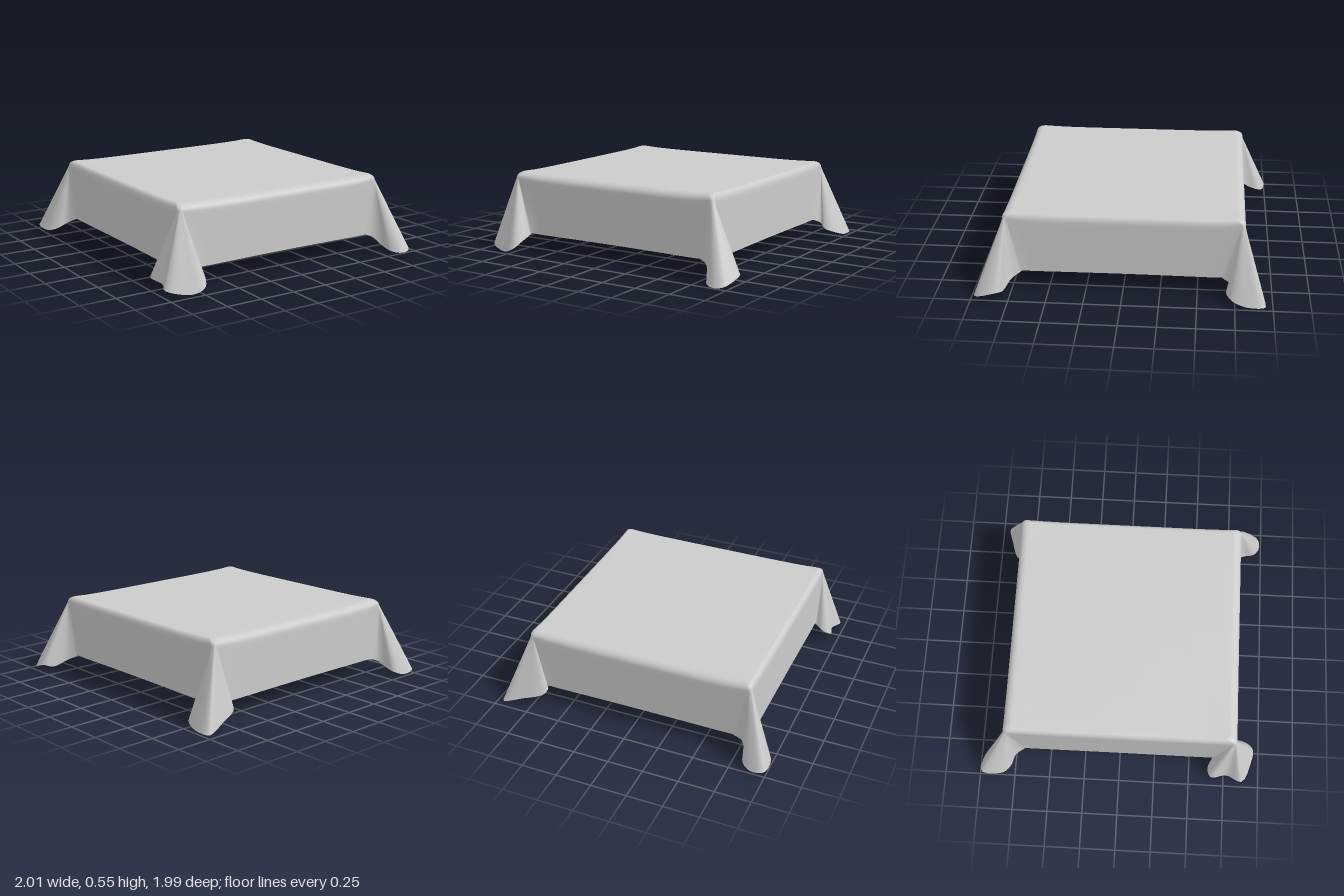
import * as THREE from 'three';

// Tabletop outline and heights
const LEFT = -0.825, RIGHT = 0.79, FRONT = 0.805, BACK = -0.805;
const TOP_Y = 0.537, EDGE_Y = 0.485, HEM_Y = 0.118;
const LOBE = 30, PANEL = 16, ROWS = 14;

// Hem of each hanging corner fold, walking round the cloth from the front panel
const corners = [
  { x: RIGHT, z: FRONT, hem: [[.70, .12, .808], [.75, .10, .825], [.80, .04, .88], [.83, .01, .95], [.90, 0, .99],
    [.97, .01, .97], [1.0, .06, .82], [.93, .04, .79], [.84, .08, .75], [.79, .12, .68]] },
  { x: RIGHT, z: BACK, hem: [[.79, .12, -.66], [.83, .09, -.72], [.87, .06, -.69], [.94, .03, -.73], [.97, 0, -.84],
    [.96, 0, -.95], [.82, .04, -.92], [.68, .08, -.87], [.66, .11, -.83], [.68, .12, -.808]] },
  { x: LEFT, z: BACK, hem: [[-.70, .12, -.808], [-.78, .10, -.825], [-.81, .06, -.88], [-.83, .03, -.95], [-.90, .01, -.99],
    [-.99, .03, -.99], [-.99, .02, -.84], [-.94, .04, -.78], [-.87, .08, -.75], [-.825, .12, -.68]] },
  { x: LEFT, z: FRONT, hem: [[-.825, .12, .66], [-.90, .09, .63], [-.955, .06, .66], [-.93, .04, .77], [-.97, .03, .88],
    [-.82, 0, .95], [-.73, .03, .96], [-.69, .08, .90], [-.68, .12, .808]] },
];

// Matching loops: the table edge (tight corner arcs) and the hem below it
function buildLoops() {
  const edge = [], hem = [];
  const r = 0.03;
  const folds = corners.map((c, k) => {
    const curve = new THREE.CatmullRomCurve3(c.hem.map(p => new THREE.Vector3(...p)), false, 'centripetal');
    const hemPts = curve.getPoints(LOBE);
    hemPts.forEach(p => { p.y = Math.max(0, p.y); });
    const cx = c.x - Math.sign(c.x) * r, cz = c.z - Math.sign(c.z) * r;
    const edgePts = hemPts.map((_, i) => {
      const a = Math.PI / 2 - (k + i / LOBE) * Math.PI / 2;
      return new THREE.Vector3(cx + r * Math.cos(a), EDGE_Y + 0.02, cz + r * Math.sin(a));
    });
    return { edgePts, hemPts };
  });
  folds.forEach((fold, k) => {
    const next = folds[(k + 1) % 4];
    edge.push(...fold.edgePts);
    hem.push(...fold.hemPts);
    // straight panel to the next corner
    for (let i = 1; i < PANEL; i++) {
      const t = i / PANEL;
      const e = fold.edgePts[LOBE].clone().lerp(next.edgePts[0], t);
      e.y = EDGE_Y + 0.02 * Math.pow(Math.abs(2 * t - 1), 6);
      const h = fold.hemPts[LOBE].clone().lerp(next.hemPts[0], t);
      h.y = HEM_Y + 0.004 * Math.sin(Math.PI * t);
      edge.push(e);
      hem.push(h);
    }
  });
  return { edge, hem };
}

function clothGeometry() {
  const { edge, hem } = buildLoops();
  const rings = [];
  const cx = (LEFT + RIGHT) / 2, hx = (RIGHT - LEFT) / 2;

  // flat top, shrinking toward the middle
  const inset = (dx, dz, y, lift) => edge.map(p => {
    const u = (p.x - cx) / hx, v = p.z / FRONT;
    return new THREE.Vector3(cx + u * (hx - dx), y + lift * Math.pow(Math.abs(u * v), 12), v * (FRONT - dz));
  });
  [0.02, 0.3, 0.6, 0.85].forEach(s => rings.push(inset(hx * (1 - s), FRONT * (1 - s), TOP_Y, 0)));

  // rounded edge, softer at front and back
  for (let i = 0; i < 5; i++) {
    const a = i / 5 * Math.PI / 2;
    const q = 1 - Math.sin(a);
    const ring = inset(0.035 * q, 0.06 * q, 0, 0);
    ring.forEach((p, j) => {
      const base = edge[j].y;
      const lift = 0.008 * (base - EDGE_Y) / 0.02;
      p.y = base + (TOP_Y + lift - base) * Math.cos(a);
    });
    rings.push(ring);
  }

  // hanging skirt and corner folds
  for (let i = 0; i <= ROWS; i++) {
    rings.push(edge.map((p, j) => p.clone().lerp(hem[j], i / ROWS)));
  }

  const n = edge.length, pos = [], index = [];
  rings.forEach(ring => ring.forEach(p => pos.push(p.x, p.y, p.z)));
  for (let r = 0; r < rings.length - 1; r++) {
    for (let i = 0; i < n; i++) {
      const a = r * n + i, b = r * n + (i + 1) % n;
      index.push(a, a + n, b, b, a + n, b + n);
    }
  }
  // close the centre
  const centre = pos.length / 3;
  pos.push(cx, TOP_Y, 0);
  for (let i = 0; i < n; i++) index.push(centre, i, (i + 1) % n);

  const geo = new THREE.BufferGeometry();
  geo.setAttribute('position', new THREE.Float32BufferAttribute(pos, 3));
  geo.setIndex(index);
  geo.computeVertexNormals();
  return geo;
}

export function createModel() {
  const group = new THREE.Group();
  group.name = 'drapedTablecloth';
  const material = new THREE.MeshStandardMaterial({ color: 0xcccccc, side: THREE.DoubleSide });
  const cloth = new THREE.Mesh(clothGeometry(), material);
  cloth.name = 'cloth';
  group.add(cloth);
  return group;
}
